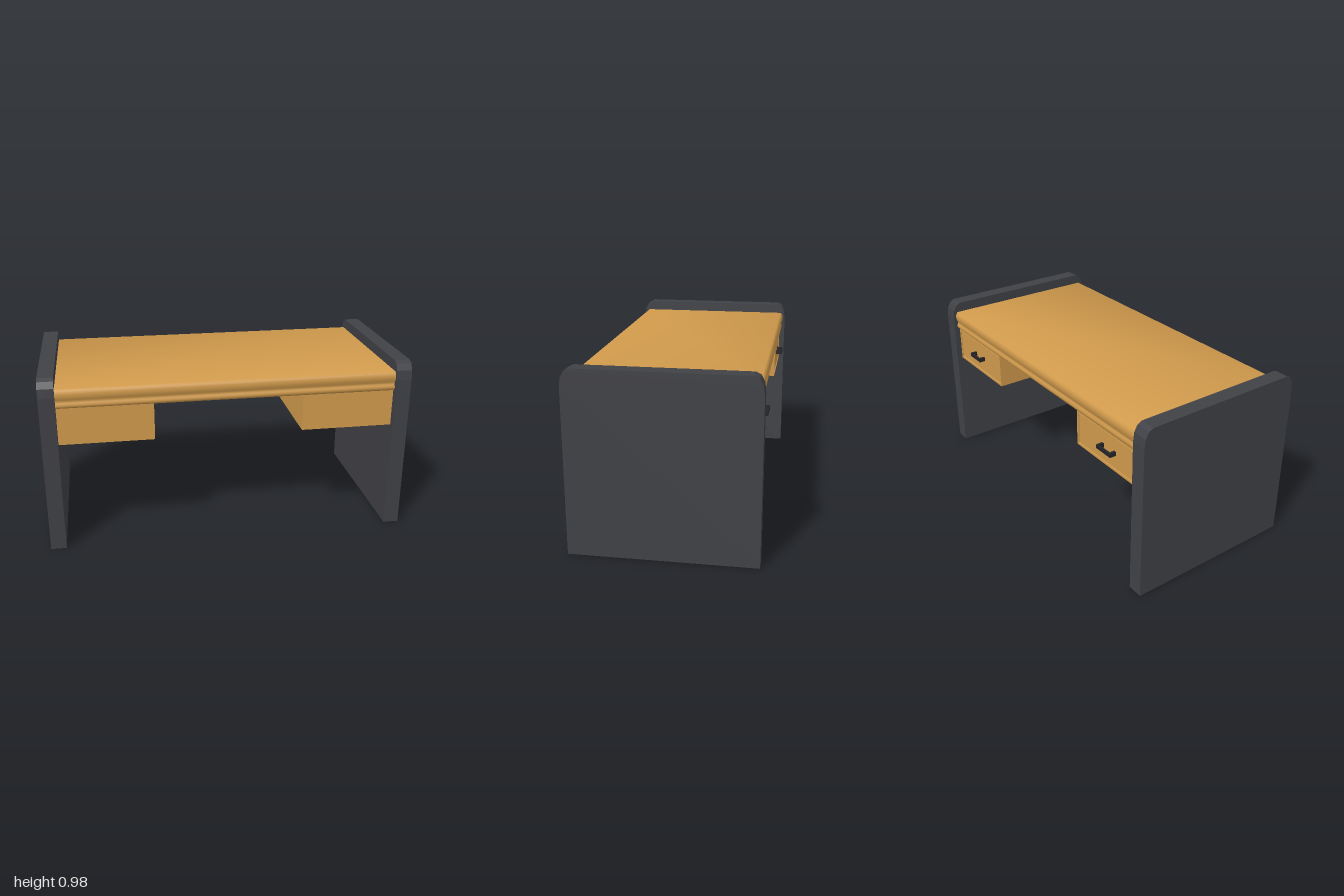
import * as THREE from 'three';
import { toCreasedNormals } from 'three/addons/utils/BufferGeometryUtils.js';

const wood = new THREE.MeshStandardMaterial({ color: 0xd09a4c });
const slate = new THREE.MeshStandardMaterial({ color: 0x404146 });
const metal = new THREE.MeshStandardMaterial({ color: 0x242426 });

function add(parent, name, geometry, material, x = 0, y = 0, z = 0) {
  const mesh = new THREE.Mesh(geometry, material);
  mesh.name = name;
  mesh.position.set(x, y, z);
  parent.add(mesh);
  return mesh;
}

// Mirrors half a [z, y] outline and extrudes it along x, centred on x = 0
function symmetricExtrude(half, width) {
  const other = half.map(([z, y]) => [-z, y]).reverse();
  const shape = new THREE.Shape([...half, ...other].map(([z, y]) => new THREE.Vector2(z, y)));
  const geometry = new THREE.ExtrudeGeometry(shape, { depth: width, bevelEnabled: false });
  geometry.translate(0, 0, -width / 2).rotateY(Math.PI / 2);
  return geometry;
}

// Drawer case with a shallow framed front and a pull on the -z side
function makeDrawer(side) {
  const drawer = new THREE.Group();
  drawer.name = side < 0 ? 'rightDrawer' : 'leftDrawer';
  const w = 0.51, h = 0.205, rim = 0.012, x = side * 0.66, y = 0.7075;
  add(drawer, 'drawerCase', new THREE.BoxGeometry(w, h, 0.9), wood, x, y, 0.005);

  const frame = new THREE.Shape([[-1, -1], [1, -1], [1, 1], [-1, 1]]
    .map(([a, b]) => new THREE.Vector2(a * w / 2, b * h / 2)));
  frame.holes.push(new THREE.Path([[-1, -1], [-1, 1], [1, 1], [1, -1]]
    .map(([a, b]) => new THREE.Vector2(a * (w / 2 - rim), b * (h / 2 - rim)))));
  add(drawer, 'drawerFrame', new THREE.ExtrudeGeometry(frame, { depth: 0.012, bevelEnabled: false }),
    wood, x, y, -0.457);
  add(drawer, 'drawerFront', new THREE.BoxGeometry(w - 0.034, h - 0.034, 0.01), wood, x, y, -0.449);

  // Pull: a bar on two posts
  const hx = side < 0 ? -0.68 : 0.66;
  const handle = new THREE.Group();
  handle.name = 'handle';
  handle.position.set(hx, 0.709, 0);
  add(handle, 'handleBar', new THREE.BoxGeometry(0.115, 0.02, 0.012), metal, 0, 0, -0.485);
  for (const s of [-1, 1]) {
    add(handle, 'handlePost', new THREE.BoxGeometry(0.014, 0.024, 0.036), metal, s * 0.05, 0, -0.47);
  }
  drawer.add(handle);
  return drawer;
}

export function createModel() {
  const desk = new THREE.Group();
  desk.name = 'desk';

  // Side panels with rounded upper corners
  const panelOutline = [[0.49, 0], [0.49, 0.88], [0.484, 0.93], [0.466, 0.964], [0.44, 0.977]];
  const panel = symmetricExtrude(panelOutline, 0.085);
  add(desk, 'leftPanel', panel, slate, 0.9575);
  add(desk, 'rightPanel', panel, slate, -0.9575);

  // Desktop with a moulded front and back edge
  const topOutline = [[0.455, 0.81], [0.468, 0.818], [0.472, 0.83], [0.468, 0.842], [0.464, 0.85],
    [0.467, 0.86], [0.474, 0.875], [0.475, 0.895], [0.47, 0.912], [0.46, 0.92]];
  add(desk, 'desktop', toCreasedNormals(symmetricExtrude(topOutline, 1.83), 0.9), wood);

  // Hanging drawers
  for (const side of [-1, 1]) desk.add(makeDrawer(side));
  return desk;
}
